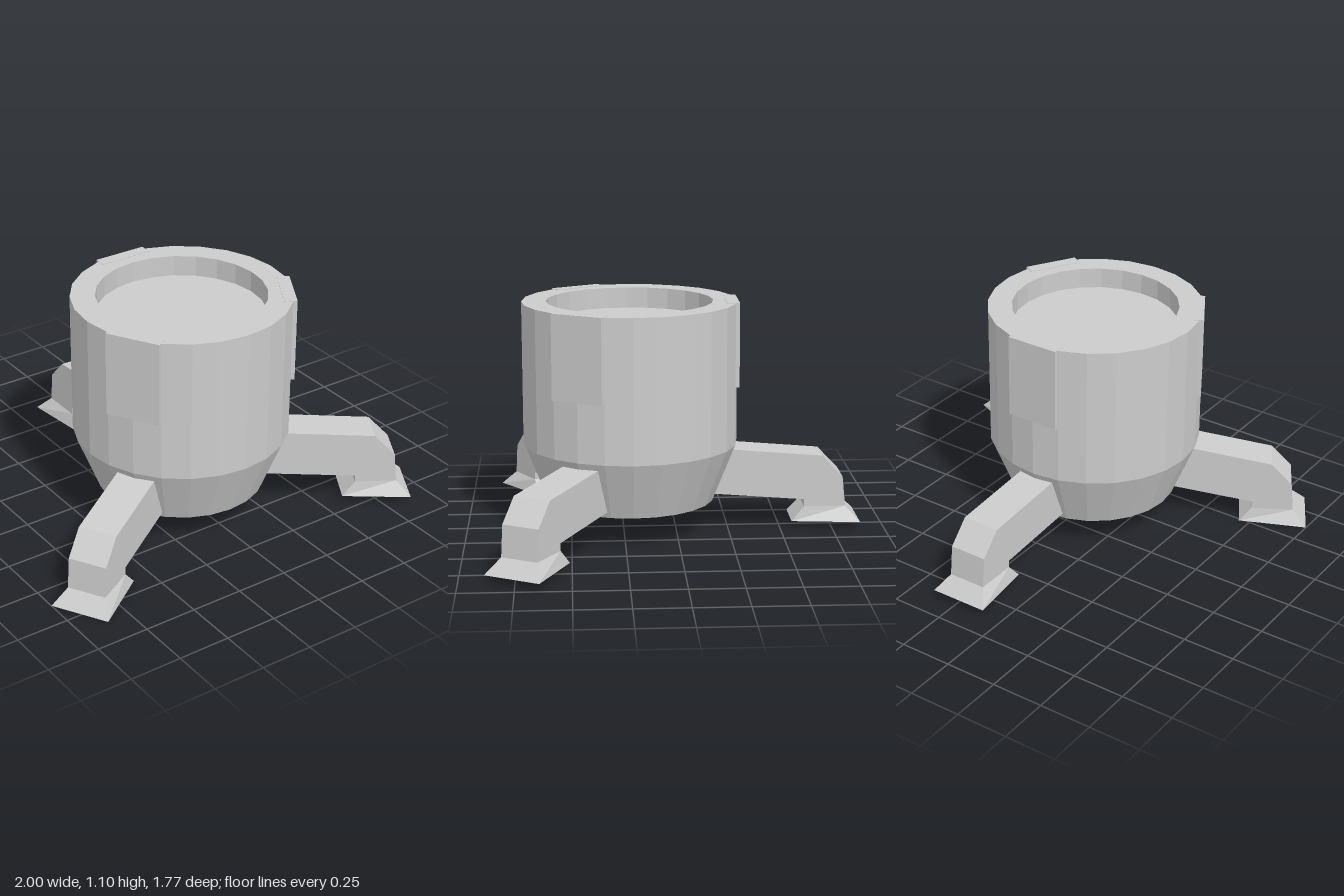
import * as THREE from 'three';

const material = new THREE.MeshStandardMaterial({ color: 0xcccccc, flatShading: true });

function addMesh(parent, geometry, name) {
  const mesh = new THREE.Mesh(geometry, material);
  mesh.name = name;
  parent.add(mesh);
  return mesh;
}

// Splayed foot: a box whose top matches the leg and whose sole flares outward
function footGeometry(shift, drop) {
  const geometry = new THREE.BoxGeometry(2, 2, 2);
  const p = geometry.attributes.position;
  for (let i = 0; i < p.count; i++) {
    const outer = p.getX(i) > 0, top = p.getY(i) > 0, side = Math.sign(p.getZ(i));
    const x = outer ? (top ? 1.03 : 1.097) : (top ? 0.83 : 0.77);
    const half = top ? 0.092 : (outer ? 0.14 : 0.104);
    p.setXYZ(i, x - shift, (top ? 0.105 : 0.035) - drop, side * half);
  }
  geometry.computeVertexNormals();
  return geometry;
}

// Bent leg: side profile (distance from the body axis, height) given thickness
function legGeometry(shift, drop) {
  const shoulder = [[0.3, 0.182], [0.385, 0.175]];
  const knee = [[0.83, 0.14], [0.83, 0.1], [1.03, 0.1], [1.015, 0.25], [0.915, 0.355]];
  const points = [
    ...shoulder,
    ...knee.map(([x, y]) => [x - shift, y - drop]),
    [0.485, 0.39], [0.4, 0.397],
  ].map(([x, y]) => new THREE.Vector2(x, y));
  const width = 0.184;
  const geometry = new THREE.ExtrudeGeometry(new THREE.Shape(points), { depth: width, bevelEnabled: false });
  return geometry.translate(0, 0, -width / 2);
}

export function createModel() {
  const model = new THREE.Group();
  model.name = 'threeLeggedPot';

  // Everything is arranged around the body axis
  const assembly = new THREE.Group();
  assembly.name = 'assembly';
  assembly.position.set(-0.02, 0, 0.215);
  model.add(assembly);

  // Body with tapered base and shallow recess in the top
  const profile = [
    [0, 0.144], [0.4, 0.144], [0.51, 0.42], [0.51, 1.1],
    [0.395, 1.1], [0.395, 1.0], [0, 1.0],
  ].map(([r, y]) => new THREE.Vector2(r, y));
  addMesh(assembly, new THREE.LatheGeometry(profile, 24), 'body');

  // Three legs, each with a foot and a flat panel above; one leg is shorter and lower
  const arms = [
    { name: 'backLeg', angle: 90, shift: 0, drop: 0 },
    { name: 'frontLeftLeg', angle: -30, shift: 0, drop: 0 },
    { name: 'frontRightLeg', angle: 210, shift: 0.047, drop: 0.035 },
  ];
  for (const { name, angle, shift, drop } of arms) {
    const arm = new THREE.Group();
    arm.name = name;
    arm.rotation.y = THREE.MathUtils.degToRad(angle);
    assembly.add(arm);
    addMesh(arm, legGeometry(shift, drop), 'leg');
    addMesh(arm, footGeometry(shift, drop), 'foot');
    const panel = addMesh(arm, new THREE.BoxGeometry(0.06, 0.402, 0.26), 'panel');
    panel.position.set(0.482, 0.901, 0);
  }
  return model;
}
